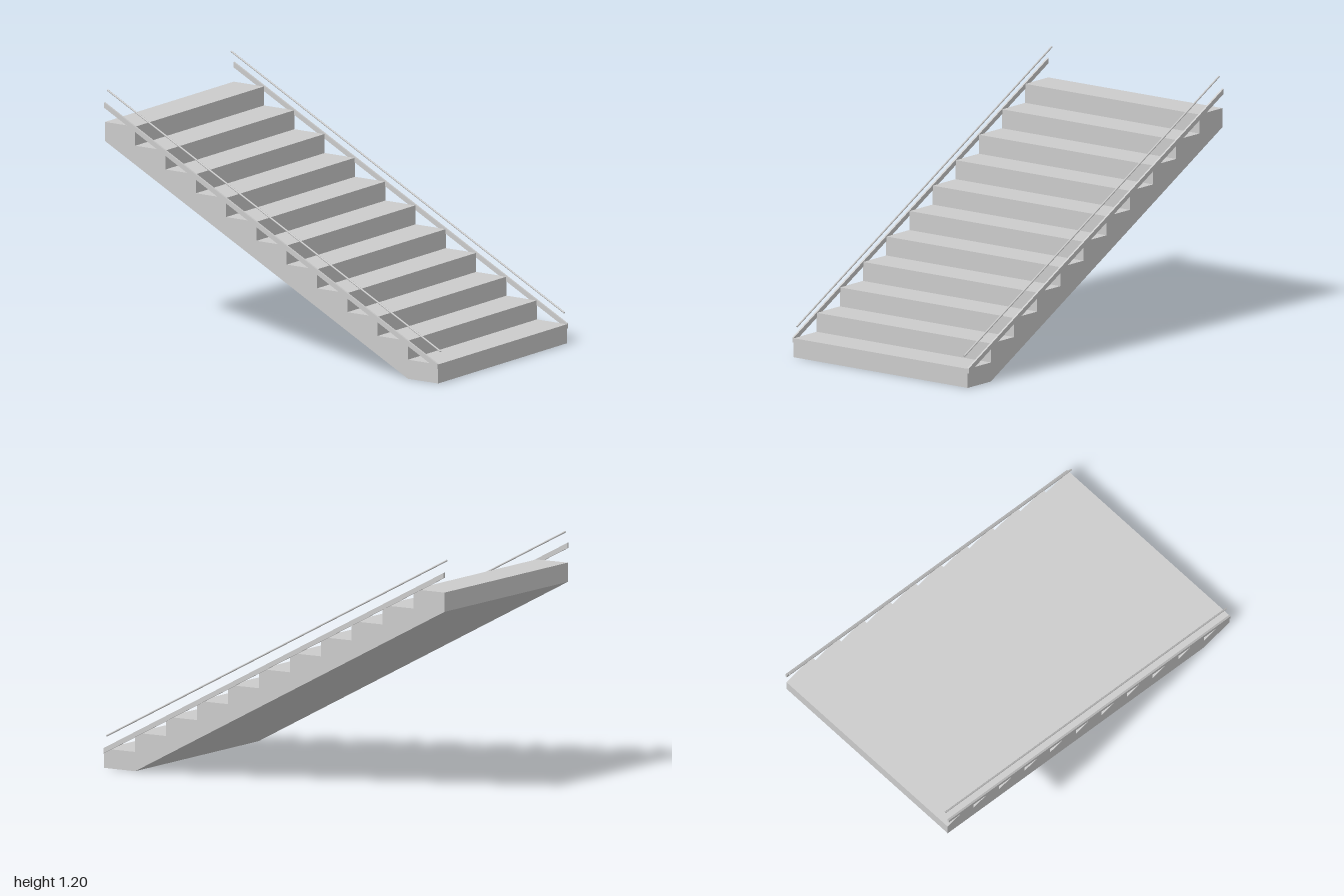
import * as THREE from 'three';

const STEPS = 11, RUN = 0.18, RISE = 1.04 / STEPS, WIDTH = 1.08;
const HALF = (STEPS * RUN) / 2;
const SLOPE = RISE / RUN;

// Extrude a side profile, given as [z, y] points, to a width centred on x = 0.
function extrudeProfile(points, width) {
  const shape = new THREE.Shape(points.map(([z, y]) => new THREE.Vector2(-z, y)));
  const geometry = new THREE.ExtrudeGeometry(shape, { depth: width, bevelEnabled: false });
  geometry.translate(0, 0, -width / 2);
  geometry.rotateY(Math.PI / 2);
  return geometry;
}

export function createModel() {
  const model = new THREE.Group();
  const material = new THREE.MeshStandardMaterial({ color: 0xcccccc });

  const add = (name, geometry, x = 0) => {
    const mesh = new THREE.Mesh(geometry, material);
    mesh.name = name;
    mesh.position.x = x;
    model.add(mesh);
    return mesh;
  };

  // Solid flight with stepped top and sloping underside
  const profile = [[HALF - RUN, 0], [-HALF, RISE * (STEPS - 1)]];
  for (let i = STEPS; i > 0; i--) {
    const back = HALF - i * RUN;
    profile.push([back, i * RISE], [back + RUN, i * RISE]);
  }
  profile.push([HALF, 0]);
  add('stairFlight', extrudeProfile(profile, WIDTH));

  const lift = SLOPE * 2 * HALF;
  for (const [side, sign] of [['left', 1], ['right', -1]]) {
    // Flat side rail with vertical ends
    const rail = [[HALF, 0.072], [HALF, 0.098], [-HALF, 0.098 + lift], [-HALF, 0.072 + lift]];
    add(`${side}SideRail`, extrudeProfile(rail, 0.01), sign * 0.5425);

    // Thin round handrail above it
    const length = Math.hypot(2 * HALF, lift);
    const rod = add(`${side}Handrail`, new THREE.CylinderGeometry(0.0045, 0.0045, length, 8), sign * 0.519);
    rod.position.y = 0.155 + lift / 2;
    rod.rotation.x = -Math.atan2(2 * HALF, lift);
  }

  // The whole flight is turned slightly about the vertical
  model.rotation.y = 0.0185;
  return model;
}
